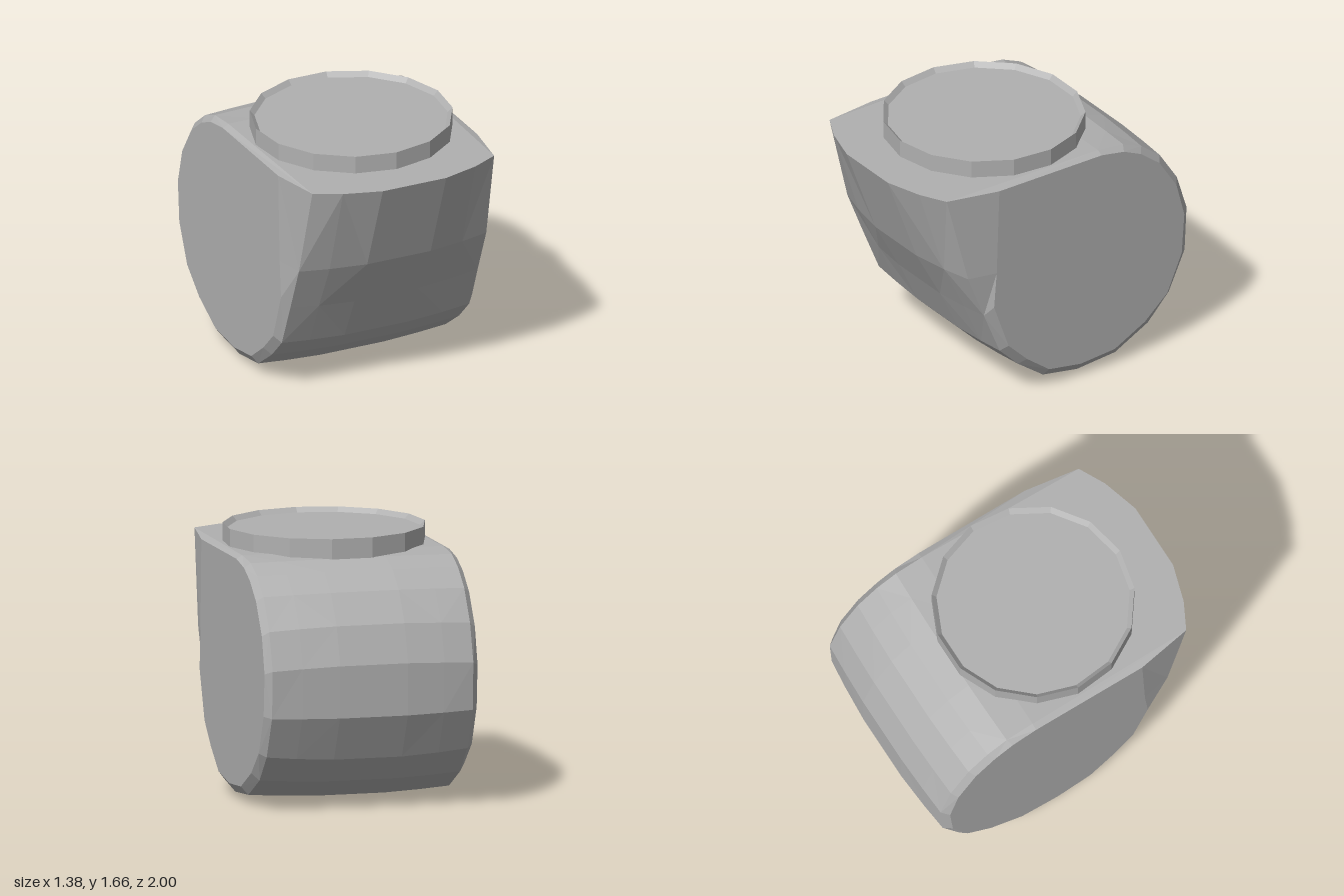
import * as THREE from 'three';

const grey = new THREE.MeshStandardMaterial({ color: 0xb0b0b0, flatShading: true });
grey.name = 'plain grey';

// Side profiles as [z, y], from the top front lip down, under and up the back
const middle = [
  [1, 1.545], [0.78, 0.95], [0.6, 0.62], [0.46, 0.33], [0.33, 0.2], [0.12, 0.05], [-0.15, 0],
  [-0.46, 0.04], [-0.71, 0.17], [-0.86, 0.33], [-0.995, 0.61], [-1, 0.94], [-0.92, 1.18],
  [-0.79, 1.37], [-0.65, 1.48], [-0.5, 1.535], [-0.3, 1.55],
];
const rim = [
  [0.84, 1.545], [0.69, 0.95], [0.57, 0.65], [0.45, 0.36], [0.31, 0.22], [0.12, 0.08], [-0.14, 0.035],
  [-0.43, 0.06], [-0.68, 0.19], [-0.84, 0.36], [-0.96, 0.62], [-0.975, 0.92], [-0.9, 1.16],
  [-0.77, 1.36], [-0.63, 1.47], [-0.49, 1.53], [-0.3, 1.55],
];
const cap = [
  [0.48, 1.53], [0.5, 0.95], [0.52, 0.71], [0.41, 0.4], [0.27, 0.26], [0.1, 0.13], [-0.14, 0.09],
  [-0.4, 0.11], [-0.63, 0.23], [-0.8, 0.38], [-0.91, 0.63], [-0.93, 0.9], [-0.87, 1.13],
  [-0.74, 1.33], [-0.6, 1.44], [-0.47, 1.5], [-0.3, 1.53],
];
const blend = (a, b, t) => a.map((p, j) => [p[0] + (b[j][0] - p[0]) * t, p[1] + (b[j][1] - p[1]) * t]);

// Skin the cross-sections from one side to the other and close both ends
function bodyGeometry() {
  const half = [[0.22, middle], [0.46, blend(middle, rim, 0.45)], [0.65, rim], [0.69, cap]];
  const sections = [...half.map(([x, p]) => [-x, p]).reverse(), ...half];
  const n = middle.length;
  const positions = [];
  const index = [];
  for (const [x, profile] of sections) {
    profile.forEach(([z, y], j) => {
      const narrow = j === 0 && Math.abs(x) === 0.65 ? 0.97 : 1; // lip corners taper in
      positions.push(x * narrow, y, z);
    });
  }
  for (let i = 0; i < sections.length - 1; i++) {
    for (let j = 0; j < n; j++) {
      const a = i * n + j, b = i * n + (j + 1) % n, c = a + n, d = b + n;
      if ((i + j) % 2) index.push(a, b, c, b, d, c);
      else index.push(a, b, d, a, d, c);
    }
  }
  const last = (sections.length - 1) * n;
  const centre = positions.length / 3;
  positions.push(-0.69, 0.8, -0.2, 0.69, 0.8, -0.2);
  for (let j = 0; j < n; j++) {
    const k = (j + 1) % n;
    index.push(centre, k, j, centre + 1, last + j, last + k);
  }
  const g = new THREE.BufferGeometry();
  g.setAttribute('position', new THREE.Float32BufferAttribute(positions, 3));
  g.setIndex(index);
  const flat = g.toNonIndexed();
  flat.computeVertexNormals();
  return flat;
}

export function createModel() {
  const model = new THREE.Group();
  model.name = 'roundedHousing';

  const body = new THREE.Mesh(bodyGeometry(), grey);
  body.name = 'body';
  model.add(body);

  // Round collar with a shallow recessed top
  const profile = [[0.635, 1.53], [0.635, 1.66], [0.605, 1.63], [0, 1.63]];
  const collar = new THREE.Mesh(
    new THREE.LatheGeometry(profile.map(([r, y]) => new THREE.Vector2(r, y)), 15), grey);
  collar.name = 'topCollar';
  collar.position.z = 0.113;
  model.add(collar);

  return model;
}
